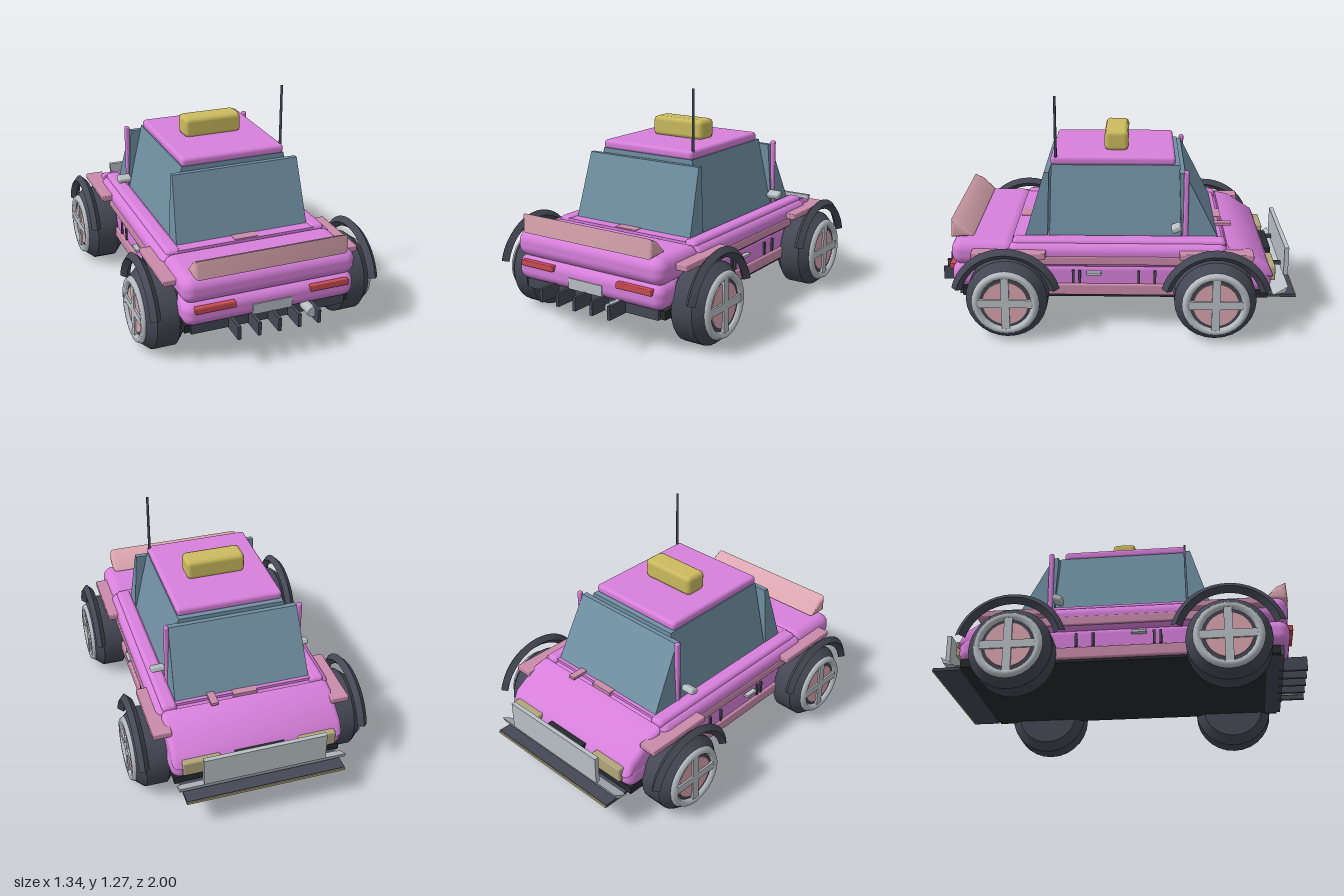
import * as THREE from 'three';
import { toCreasedNormals } from 'three/addons/utils/BufferGeometryUtils.js';
import { RoundedBoxGeometry } from 'three/addons/geometries/RoundedBoxGeometry.js';

const paint = (name, color) => {
  const m = new THREE.MeshStandardMaterial({ color });
  m.name = name;
  return m;
};

export function createModel() {
  const car = new THREE.Group();
  car.name = 'car';
  const pink = paint('pink paint', 0xd880dc);
  const rose = paint('rose trim', 0xdba6b0);
  const mauve = paint('mauve trim', 0xcb8bac);
  const dark = paint('dark rubber', 0x454855);
  const black = paint('black underbody', 0x28292e);
  const silver = paint('silver', 0xb9c0c5);
  const glass = paint('blue glass', 0x7090a3);
  const yellow = paint('yellow sign', 0xcbbb5e);
  const red = paint('red lamp', 0xc94b52);
  const cream = paint('cream lamp', 0xb3a67c);

  const add = (name, geo, mat, parent = car) => {
    const m = new THREE.Mesh(geo, mat);
    m.name = name;
    parent.add(m);
    return m;
  };
  // Box given by its limits on each axis; r rounds the edges
  const box = (name, mat, [x0, x1], [y0, y1], [z0, z1], r = 0, seg = 3) => {
    const s = [x1 - x0, y1 - y0, z1 - z0];
    const geo = r ? new RoundedBoxGeometry(...s, seg, r) : new THREE.BoxGeometry(...s);
    geo.translate((x0 + x1) / 2, (y0 + y1) / 2, (z0 + z1) / 2);
    return add(name, geo, mat);
  };
  // Box on both sides of the car
  const pair = (name, mat, [x0, x1], y, z, r, seg) => {
    box(name + 'Left', mat, [x0, x1], y, z, r, seg);
    box(name + 'Right', mat, [-x1, -x0], y, z, r, seg);
  };
  // Side profile of (z, y) points, extruded across the car
  const profile = (name, mat, pts, halfWidth, bevel) => {
    const shape = new THREE.Shape(pts.map(p => new THREE.Vector2(...p)));
    const depth = 2 * (halfWidth - bevel);
    const geo = new THREE.ExtrudeGeometry(shape, {
      depth, bevelEnabled: bevel > 0, bevelSize: bevel, bevelThickness: bevel, bevelSegments: 3,
    });
    geo.translate(0, 0, -depth / 2).rotateY(-Math.PI / 2);
    return add(name, toCreasedNormals(geo, 0.7), mat);
  };
  // Block whose bottom and top are different rectangles
  const taper = (name, mat, [y0, y1], bottom, top) => {
    const geo = new THREE.BoxGeometry(1, 1, 1);
    const p = geo.attributes.position;
    for (let i = 0; i < p.count; i++) {
      const [hx, z0, z1] = p.getY(i) > 0 ? top : bottom;
      p.setXYZ(i, Math.sign(p.getX(i)) * hx, p.getY(i) > 0 ? y1 : y0, p.getZ(i) > 0 ? z1 : z0);
    }
    geo.computeVertexNormals();
    return add(name, geo, mat);
  };

  // Body
  box('floor', black, [-0.47, 0.47], [0.185, 0.23], [-0.84, 0.85]);
  box('lowerBody', pink, [-0.475, 0.475], [0.22, 0.38], [-0.8, 0.8], 0.04);
  box('middleBody', pink, [-0.5, 0.5], [0.36, 0.5], [-0.61, 0.6], 0.05);
  box('tailUpper', pink, [-0.49, 0.49], [0.365, 0.51], [0.55, 0.905], 0.06, 4);
  box('tailLower', pink, [-0.485, 0.485], [0.235, 0.375], [0.5, 0.905], 0.055, 4);
  box('noseLower', pink, [-0.485, 0.485], [0.22, 0.36], [-0.857, -0.5], 0.055, 4);
  profile('hood', pink, [[-0.63, 0.33], [-0.63, 0.465], [-0.67, 0.455], [-0.81, 0.365], [-0.83, 0.33]], 0.48, 0.03);
  pair('beltRail', pink, [0.38, 0.465], [0.45, 0.52], [-0.6, 0.57], 0.025);
  pair('sideStrip', mauve, [0.48, 0.505], [0.385, 0.435], [-0.4, 0.45], 0.008, 1);
  pair('sill', mauve, [0.44, 0.49], [0.2, 0.265], [-0.6, 0.65], 0.01, 1);
  pair('doorHandle', silver, [0.48, 0.508], [0.325, 0.34], [0.08, 0.16]);
  for (const z of [0.235, 0.2, -0.125, -0.215])
    pair('sideSlot', dark, [0.46, 0.485], [0.27, 0.345], [z - 0.007, z + 0.007]);
  pair('fenderPad', mauve, [0.45, 0.555], [0.435, 0.47], [0.38, 0.785], 0.006, 1);
  pair('fenderPad', mauve, [0.45, 0.555], [0.435, 0.47], [-0.745, -0.345], 0.006, 1);
  box('cowlPadFront', mauve, [-0.07, 0.065], [0.48, 0.515], [-0.6, -0.52]);
  box('cowlPadRear', mauve, [-0.07, 0.065], [0.48, 0.515], [0.48, 0.56]);
  box('hoodRib', mauve, [0.165, 0.207], [0.51, 0.525], [-0.65, -0.54]);

  // Cabin
  taper('sideGlass', glass, [0.5, 0.895], [0.385, -0.355, 0.37], [0.3, -0.35, 0.36]);
  taper('windscreen', glass, [0.51, 0.87], [0.385, -0.56, -0.36], [0.366, -0.375, -0.345]);
  taper('rearGlass', glass, [0.51, 0.87], [0.385, 0.38, 0.505], [0.366, 0.368, 0.395]);
  box('cabinDeck', pink, [-0.4, 0.4], [0.45, 0.512], [-0.58, 0.57]);
  box('roof', pink, [-0.3, 0.3], [0.89, 0.942], [-0.325, 0.365], 0.02);
  box('roofSign', yellow, [-0.17, 0.17], [0.935, 1.05], [-0.065, 0.07], 0.026, 1);
  pair('screenPost', pink, [0.366, 0.394], [0.48, 0.888], [-0.396, -0.368], 0.01);
  const antenna = new THREE.CylinderGeometry(0.007, 0.008, 0.385, 8);
  add('antenna', antenna, dark).position.set(0.29, 1.083, 0.335);
  for (const s of [-1, 1]) {
    const m = add('mirror', new RoundedBoxGeometry(0.08, 0.035, 0.055, 2, 0.012), silver);
    m.position.set(s * 0.423, 0.577, -0.33);
    m.rotation.x = 0.4;
  }

  // Tail
  profile('spoiler', rose, [[0.89, 0.53], [0.89, 0.59], [0.865, 0.575], [0.81, 0.53]], 0.43, 0.02);
  pair('tailLamp', red, [0.212, 0.433], [0.325, 0.358], [0.89, 0.925], 0.005, 1);
  box('plate', silver, [-0.113, 0.11], [0.252, 0.312], [0.89, 0.91]);
  box('diffuser', dark, [-0.44, 0.44], [0.183, 0.25], [0.78, 0.87]);
  for (let i = -2; i <= 2; i++)
    box('diffuserFin', dark, [i * 0.113 - 0.009, i * 0.113 + 0.009], [0.18, 0.255], [0.85, 1]);
  const pipe = new THREE.CylinderGeometry(0.028, 0.028, 0.16, 12).rotateX(Math.PI / 2);
  add('exhaust', pipe, silver).position.set(0.203, 0.228, 0.885);

  // Nose
  pair('headlamp', cream, [0.22, 0.43], [0.27, 0.355], [-0.882, -0.83], 0.008, 1);
  box('grille', black, [-0.14, 0.14], [0.26, 0.35], [-0.888, -0.84]);
  box('splitter', dark, [-0.445, 0.445], [0.18, 0.197], [-0.994, -0.845]);
  box('splitterEdge', cream, [-0.445, 0.445], [0.18, 0.193], [-1, -0.993]);
  profile('splitterLip', silver, [[-0.87, 0.2], [-0.95, 0.25], [-0.935, 0.215]].reverse(), 0.467, 0);
  box('nosePlate', silver, [-0.34, 0.34], [0.265, 0.43], [-0.965, -0.94]);
  pair('plateBracket', dark, [0.2, 0.22], [0.28, 0.3], [-0.945, -0.84]);

  // Wheels and arches, built along local y with the outside up
  const tyreProfile = [[0, 0.435], [0.175, 0.435], [0.222, 0.478], [0.222, 0.6], [0.18, 0.65], [0, 0.65]]
    .map(p => new THREE.Vector2(...p));
  const tyre = toCreasedNormals(new THREE.LatheGeometry(tyreProfile, 28), 0.4);
  const rim = new THREE.TorusGeometry(0.16, 0.022, 6, 28).rotateX(Math.PI / 2).translate(0, 0.65, 0);
  const disc = new THREE.CylinderGeometry(0.122, 0.122, 0.012, 28).translate(0, 0.65, 0);
  const spoke = new THREE.BoxGeometry(0.32, 0.02, 0.044).translate(0, 0.656, 0);
  const arch = toCreasedNormals(
    new THREE.TorusGeometry(0.273, 0.029, 4, 20, 2.62).rotateZ(0.26).rotateY(Math.PI / 2), 0.6);
  for (const s of [-1, 1]) {
    for (const z of [0.59, -0.54]) {
      const wheel = new THREE.Group();
      wheel.name = 'wheel';
      wheel.position.set(0, 0.223, z);
      wheel.rotation.z = -s * Math.PI / 2;
      add('tyre', tyre, dark, wheel);
      add('rim', rim, silver, wheel);
      add('wheelDisc', disc, rose, wheel);
      add('spoke', spoke, silver, wheel);
      add('spoke', spoke, silver, wheel).rotation.y = Math.PI / 2;
      car.add(wheel);
      add('wheelArch', arch, dark).position.set(s * 0.623, 0.223, z);
    }
  }
  return car;
}
